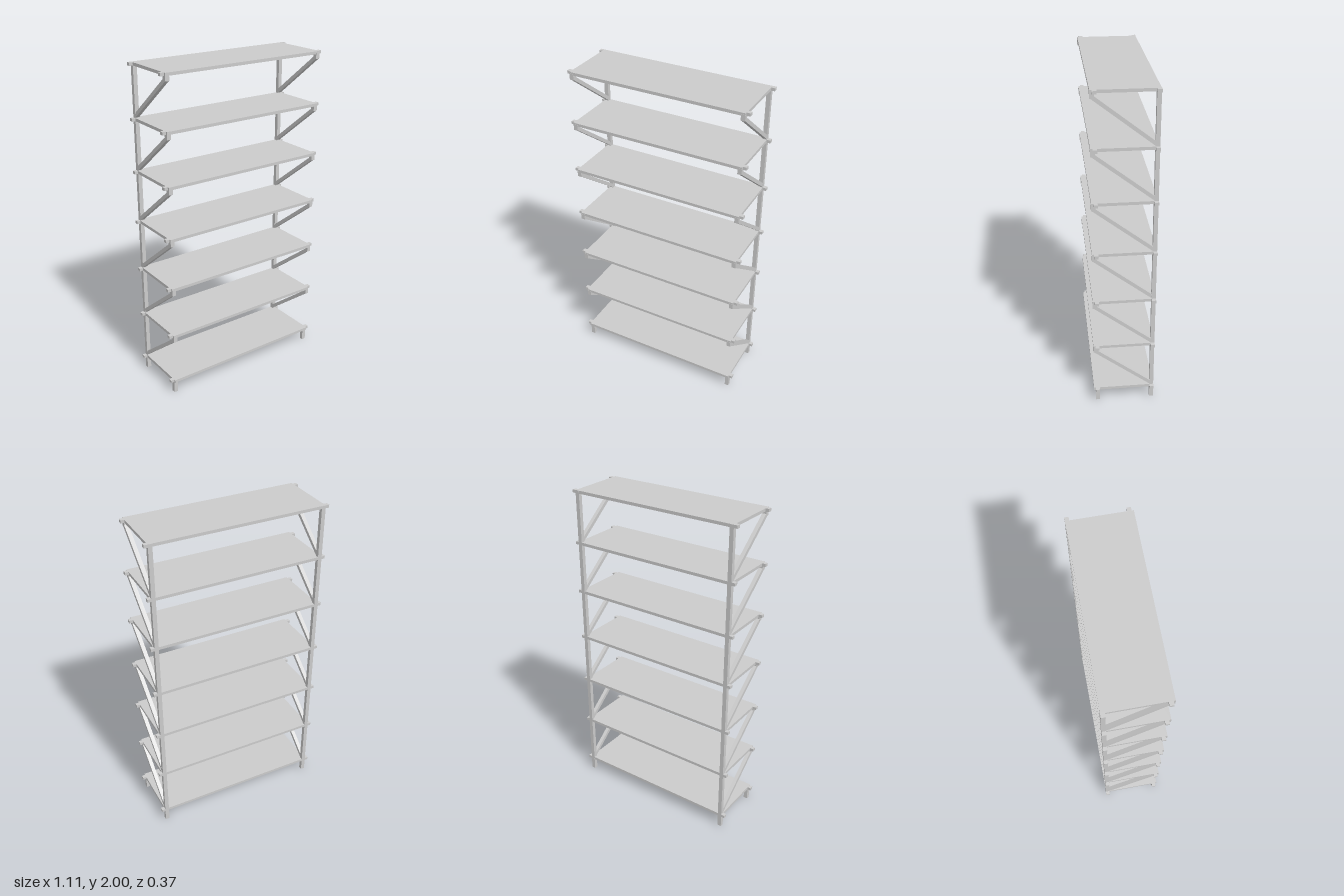
import * as THREE from 'three';

const SHELVES = 7, BOTTOM_TOP = 0.094, STEP = (2 - BOTTOM_TOP) / (SHELVES - 1);
const THICK = 0.018, POST_X = 0.5225, BAR = 0.025;

export function createModel() {
  const model = new THREE.Group();
  const material = new THREE.MeshStandardMaterial({ color: 0xcccccc });

  // Box given by its min/max extents on each axis
  const addBox = (name, [x0, x1], [y0, y1], [z0, z1]) => {
    const mesh = new THREE.Mesh(new THREE.BoxGeometry(x1 - x0, y1 - y0, z1 - z0), material);
    mesh.position.set((x0 + x1) / 2, (y0 + y1) / 2, (z0 + z1) / 2);
    mesh.name = name;
    model.add(mesh);
  };

  // Brace side profile, drawn in (z, y) relative to the upper shelf top
  const profile = new THREE.Shape([
    [0.184, -0.046], [0.176, -0.049], [-0.162, -0.315], [-0.174, -0.315],
    [-0.174, -0.297], [0.16, -0.034],
  ].map(([z, y]) => new THREE.Vector2(z, y)));
  const braceGeometry = new THREE.ExtrudeGeometry(profile, { depth: BAR - 0.001, bevelEnabled: false });
  braceGeometry.translate(0, 0, -(BAR - 0.001) / 2);
  braceGeometry.rotateY(-Math.PI / 2);

  // Shelf boards with rails whose ends stick out at both sides
  for (let i = 0; i < SHELVES; i++) {
    const top = BOTTOM_TOP + i * STEP;
    addBox('shelfBoard', [-0.535, 0.535], [top - THICK, top], [-0.184, 0.183]);
    for (const side of [-1, 1]) {
      const ends = [side * 0.53, side * 0.557].sort((a, b) => a - b);
      addBox('rearRailEnd', ends, [top - THICK, top], [-0.185, -0.161]);
      addBox('frontRailEnd', ends, [top - THICK, top], [0.148, 0.172]);
    }
  }

  for (const side of [-1, 1]) {
    const x = [side * POST_X - BAR / 2, side * POST_X + BAR / 2];
    // Full-height rear post and short front foot
    addBox('rearPost', x, [0, 1.999], [-0.185, -0.161]);
    addBox('frontFoot', x, [0, BOTTOM_TOP - 0.01], [0.148, 0.172]);

    // Diagonal brace and front block under each upper shelf
    for (let i = 1; i < SHELVES; i++) {
      const top = BOTTOM_TOP + i * STEP;
      addBox('frontBlock', x, [top - 0.046, top - 0.01], [0.159, 0.184]);
      const brace = new THREE.Mesh(braceGeometry, material);
      brace.position.set(side * POST_X, top, 0);
      brace.name = 'diagonalBrace';
      model.add(brace);
    }
  }
  return model;
}
